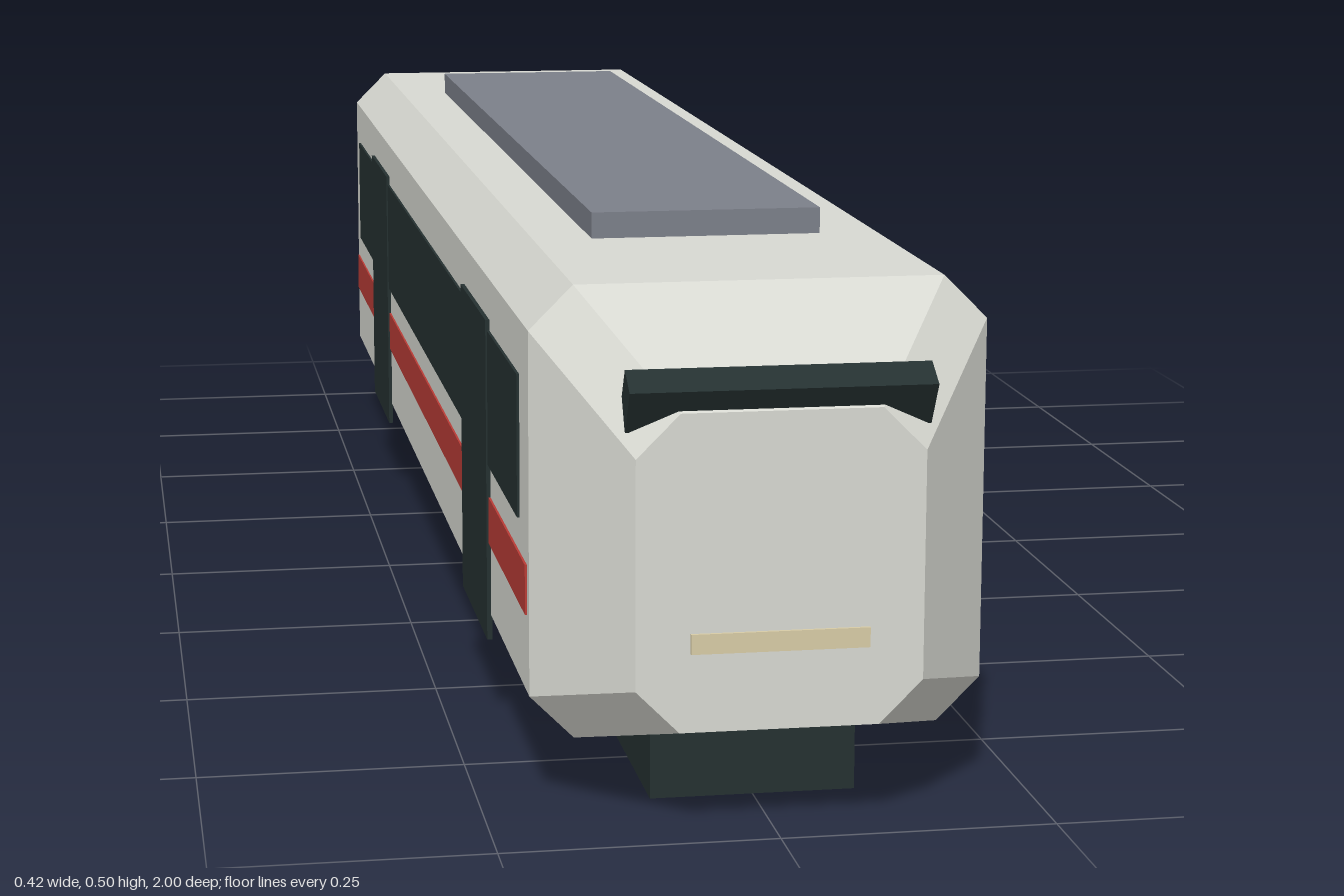
import * as THREE from 'three';

const material = (name, color, extra = {}) => {
  const m = new THREE.MeshStandardMaterial({ color, ...extra });
  m.name = name;
  return m;
};

// Chamfered octagon ring, counter-clockwise seen from +z
function ring(hw, y0, y1, c, z) {
  const w = hw - c;
  return [[w, y0], [hw, y0 + c], [hw, y1 - c], [w, y1], [-w, y1], [-hw, y1 - c], [-hw, y0 + c], [-w, y0]]
    .map(([x, y]) => [x, y, z]);
}

// Faceted hull lofted through the rings, capped at both ends
function loft(rings) {
  const pos = [];
  const tri = (a, b, c) => pos.push(...a, ...b, ...c);
  for (let r = 0; r < rings.length - 1; r++) {
    const a = rings[r], b = rings[r + 1];
    a.forEach((p, i) => {
      const j = (i + 1) % a.length;
      tri(p, a[j], b[j]);
      tri(p, b[j], b[i]);
    });
  }
  const back = rings[0], front = rings[rings.length - 1];
  for (let i = 1; i < back.length - 1; i++) {
    tri(back[0], back[i + 1], back[i]);
    tri(front[0], front[i], front[i + 1]);
  }
  const g = new THREE.BufferGeometry();
  g.setAttribute('position', new THREE.Float32BufferAttribute(pos, 3));
  g.computeVertexNormals();
  return g;
}

export function createModel() {
  const model = new THREE.Group();
  model.name = 'railCar';

  const shell = material('pale grey shell', 0xd8d9d2, { flatShading: true });
  const dark = material('dark glass', 0x253131);
  const red = material('red stripe', 0xb93c36);
  const roofGrey = material('roof grey', 0x7c808a);
  const lampCream = material('lamp cream', 0xd8cca6);

  const box = (name, mat, size, at, parent = model) => {
    const m = new THREE.Mesh(new THREE.BoxGeometry(...size), mat);
    m.name = name;
    m.position.set(...at);
    parent.add(m);
    return m;
  };

  // Body with tapered ends
  const body = new THREE.Mesh(loft([
    ring(0.128, 0.097, 0.381, 0.039, -0.99),
    ring(0.207, 0.066, 0.478, 0.04, -0.89),
    ring(0.207, 0.066, 0.478, 0.04, 0.89),
    ring(0.128, 0.097, 0.381, 0.039, 0.99),
  ]), shell);
  body.name = 'body';
  model.add(body);

  // Undercarriage and roof unit
  box('undercarriage', dark, [0.19, 0.07, 1.75], [0, 0.035, 0]);
  box('roofUnit', roofGrey, [0.222, 0.029, 1.27], [0, 0.4885, 0]);

  // Side windows, stripes and doors
  for (const [side, s] of [['left', 1], ['right', -1]]) {
    box(side + 'WindowBand', dark, [0.004, 0.132, 1.66], [s * 0.2075, 0.322, 0]);
    box(side + 'Stripe', red, [0.004, 0.046, 1.755], [s * 0.207, 0.201, 0]);
    for (const z of [0.511, -0.511])
      box(side + 'Door', dark, [0.005, 0.317, 0.207], [s * 0.2085, 0.24, z]);
  }

  // Tilted visor and lamp on each end
  for (const [name, turn] of [['frontEnd', 0], ['backEnd', Math.PI]]) {
    const end = new THREE.Group();
    end.name = name;
    end.rotation.y = turn;
    box('visor', dark, [0.27, 0.046, 0.03], [0, 0.39, 0.975], end).rotation.x = 0.55;
    box('lamp', lampCream, [0.159, 0.018, 0.006], [0, 0.177, 0.99], end);
    model.add(end);
  }
  return model;
}
